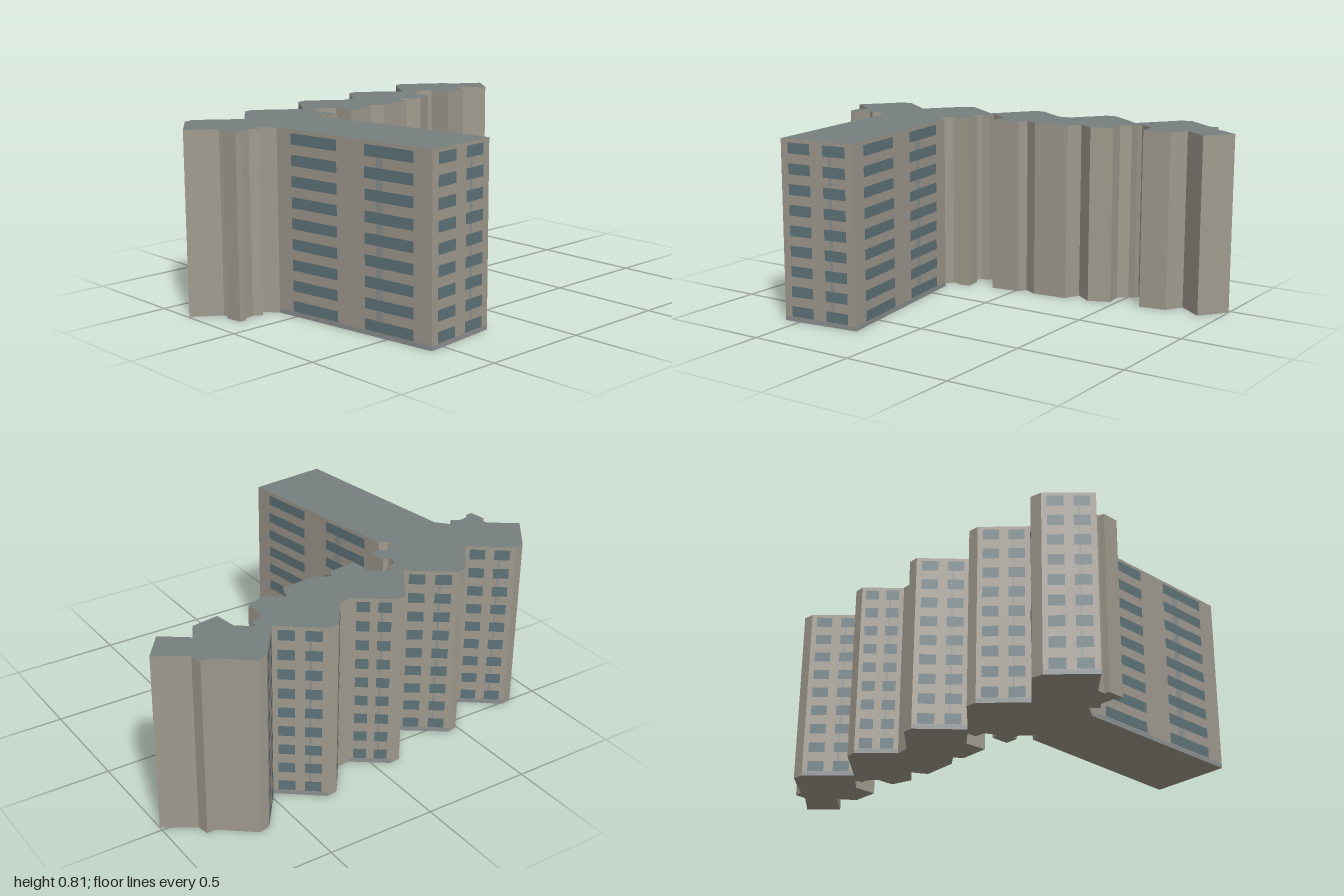
import * as THREE from 'three';

const HEIGHT = 0.815;
const FLOORS = 9;
const PITCH = 0.0912;

// Plan corners [x, z, hasWindows], clockwise from above; the flag belongs to the wall starting there
const gardenSide = [
  [-0.48, -1], [-0.355, -0.905], [-0.44, -0.79], [-0.36, -0.745], [-0.34, -0.62], [-0.445, -0.605],
  [-0.5, -0.53], [-0.457, -0.53], [-0.457, -0.5], [-0.418, -0.46], [-0.335, -0.47], [-0.293, -0.375],
  [-0.35, -0.295], [-0.275, -0.265], [-0.26, -0.1], [-0.297, -0.035], [-0.255, -0.015], [-0.24, 0.122],
  [-0.34, 0.128], [-0.4, 0.222], [-0.355, 0.215], [-0.345, 0.26], [-0.312, 0.277], [-0.287, 0.275],
  [-0.287, 0.245], [-0.207, 0.235], [-0.198, 0.295], [-0.217, 0.298], [-0.212, 0.33], [-0.155, 0.372],
];
const wing = [[-0.14, 0.33, 1], [0.69, 0.205, 1], [0.73, 0.572, 1], [-0.1, 0.672]];
const frontNook = [
  [-0.16, 0.725], [-0.12, 0.75], [-0.145, 0.785], [-0.132, 0.852], [-0.113, 0.85], [-0.113, 0.88],
  [-0.19, 0.89], [-0.198, 0.865], [-0.235, 0.873],
];
const steppedSide = [
  [-0.32, 0.995, 1], [-0.497, 0.86], [-0.512, 0.81, 1], [-0.375, 0.63, 1], [-0.55, 0.492],
  [-0.56, 0.445, 1], [-0.422, 0.255, 1], [-0.615, 0.122], [-0.62, 0.075, 1], [-0.51, -0.075],
  [-0.515, -0.138, 1], [-0.668, -0.25], [-0.672, -0.297, 1], [-0.53, -0.48, 1], [-0.72, -0.62],
  [-0.732, -0.67], [-0.617, -0.815], [-0.62, -0.855], [-0.567, -0.865],
];
const plan = [...gardenSide, ...wing, ...frontNook, ...steppedSide];

const paint = (color) => new THREE.MeshStandardMaterial({ color });
const wallPaint = paint(0xa09a8e);
const roofPaint = paint(0x76807d);
const glassPaint = paint(0x5f747a);
const stripPaint = paint(0x8b9090);

// Upright rectangle given by its lower-left corner, in a wall's own coordinates
function panel(name, x, y, w, h, out, material) {
  const mesh = new THREE.Mesh(new THREE.PlaneGeometry(w, h), material);
  mesh.position.set(x + w / 2, y + h / 2, out);
  mesh.name = name;
  return mesh;
}

// One wall, running from b (left, seen from outside) to a (right)
function makeWall(a, b) {
  const wall = new THREE.Group();
  const dx = a[0] - b[0], dz = a[1] - b[1];
  const length = Math.hypot(dx, dz);
  wall.name = a[2] ? 'windowedWall' : 'plainWall';
  wall.position.set(b[0], 0, b[1]);
  wall.rotation.y = Math.atan2(-dz, dx);
  wall.add(panel('wallFace', 0, 0, length, HEIGHT, 0, wallPaint));
  if (!a[2]) return wall;

  // Plinth strip, vertical strip and two window bands per floor
  wall.add(panel('plinth', 0, 0, length, 0.02, 0.001, stripPaint));
  wall.add(panel('verticalStrip', 0.655 * length, 0.02, 0.045 * length, HEIGHT - 0.03, 0.001, stripPaint));
  for (let floor = 0; floor < FLOORS; floor++) {
    for (const [from, to] of [[0.1, 0.405], [0.585, 0.89]]) {
      wall.add(panel('window', from * length, 0.022 + floor * PITCH, (to - from) * length, 0.048, 0.002, glassPaint));
    }
  }
  return wall;
}

export function createModel() {
  const building = new THREE.Group();
  building.name = 'apartmentBlock';

  const outline = new THREE.Shape(plan.map(([x, z]) => new THREE.Vector2(x, -z)));
  const roof = new THREE.Mesh(new THREE.ShapeGeometry(outline).rotateX(-Math.PI / 2), roofPaint);
  roof.position.y = HEIGHT;
  roof.name = 'roof';
  building.add(roof);

  // Underside: mirrored plan turned to face down
  const mirrored = new THREE.Shape(plan.map(([x, z]) => new THREE.Vector2(x, z)));
  const base = new THREE.Mesh(new THREE.ShapeGeometry(mirrored).rotateX(Math.PI / 2), wallPaint);
  base.name = 'base';
  building.add(base);

  plan.forEach((corner, i) => building.add(makeWall(corner, plan[(i + 1) % plan.length])));
  return building;
}
